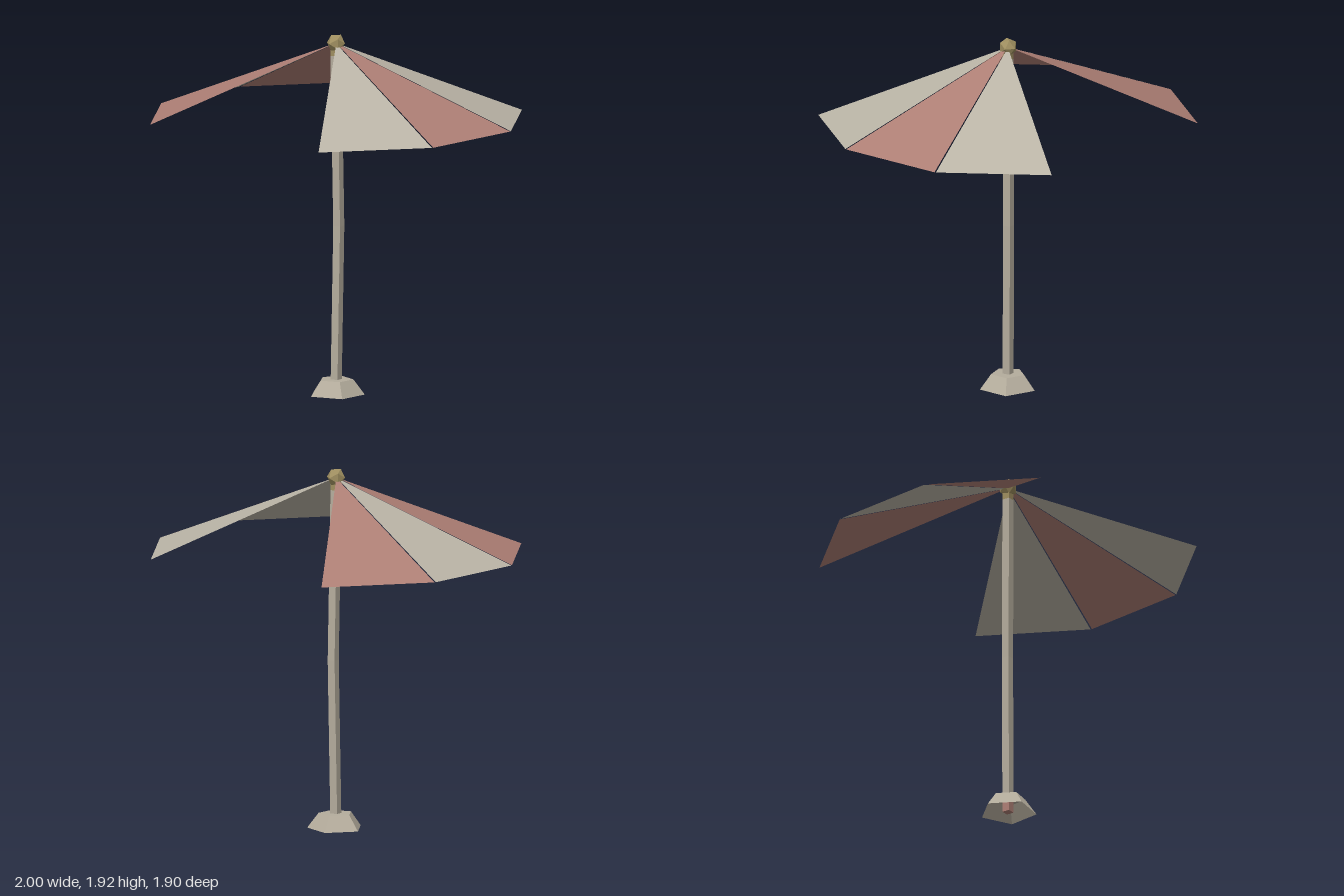
import * as THREE from 'three';

const mat = (name, color, side = THREE.FrontSide) => {
  const m = new THREE.MeshStandardMaterial({ color, side, flatShading: true });
  m.name = name;
  return m;
};

export function createModel() {
  const cream = mat('cream cloth', 0xbab4a6, THREE.DoubleSide);
  const red = mat('faded red cloth', 0xae7f75, THREE.DoubleSide);
  const stone = mat('weathered stone', 0xb5ad9d, THREE.DoubleSide);
  const brass = mat('dull brass', 0x9f8f60);

  const model = new THREE.Group();
  model.name = 'parasol';
  const add = (parent, name, geometry, material) => {
    const mesh = new THREE.Mesh(geometry, material);
    mesh.name = name;
    parent.add(mesh);
    return mesh;
  };

  // Hollow five-sided foot, open underneath
  const foot = new THREE.Group();
  foot.name = 'foot';
  model.add(foot);
  add(foot, 'footSides', new THREE.CylinderGeometry(0.092, 0.152, 0.08, 5, 1, true).translate(0, 0.04, 0), stone);
  add(foot, 'footTop', new THREE.CircleGeometry(0.092, 5, -Math.PI / 2).rotateX(-Math.PI / 2).translate(0, 0.08, 0), stone);

  // Square pole with a slight kink at mid height
  const pole = new THREE.Group();
  pole.name = 'pole';
  model.add(pole);
  const poleSection = (name, y0, y1, material) => {
    const g = new THREE.CylinderGeometry(0.03, 0.03, y1 - y0, 4);
    g.translate(0, (y0 + y1) / 2, 0);
    const p = g.attributes.position;
    for (let i = 0; i < p.count; i++) {
      p.setX(i, p.getX(i) + 0.015 * (1 - Math.abs(p.getY(i) - 0.9) / 0.9));
    }
    g.computeVertexNormals();
    add(pole, name, g, material);
  };
  poleSection('poleStub', 0, 0.08, red);
  poleSection('lowerPole', 0.08, 0.9, stone);
  poleSection('upperPole', 0.9, 1.81, stone);
  poleSection('poleCollar', 1.81, 1.86, brass);

  // Canopy of ten sectors with two opposite pairs missing
  const canopy = new THREE.Group();
  canopy.name = 'canopy';
  model.add(canopy);
  const step = Math.PI / 5, seam = 0.004;
  const rim = a => [Math.cos(a), 1.48, Math.sin(a)];
  for (const i of [0, 1, 2, 5, 6, 7]) {
    const a = i * step, mid = a + step / 2;
    const apex = [Math.cos(mid) * 0.006, 1.875, Math.sin(mid) * 0.006];
    const g = new THREE.BufferGeometry();
    g.setAttribute('position', new THREE.Float32BufferAttribute(
      [...apex, ...rim(a + step - seam), ...rim(a + seam)], 3));
    g.computeVertexNormals();
    add(canopy, 'canopyPanel' + i, g, i % 2 ? red : cream);
  }

  // Faceted knob at the peak
  add(model, 'finial', new THREE.IcosahedronGeometry(0.05, 0), brass).position.y = 1.878;

  return model;
}
